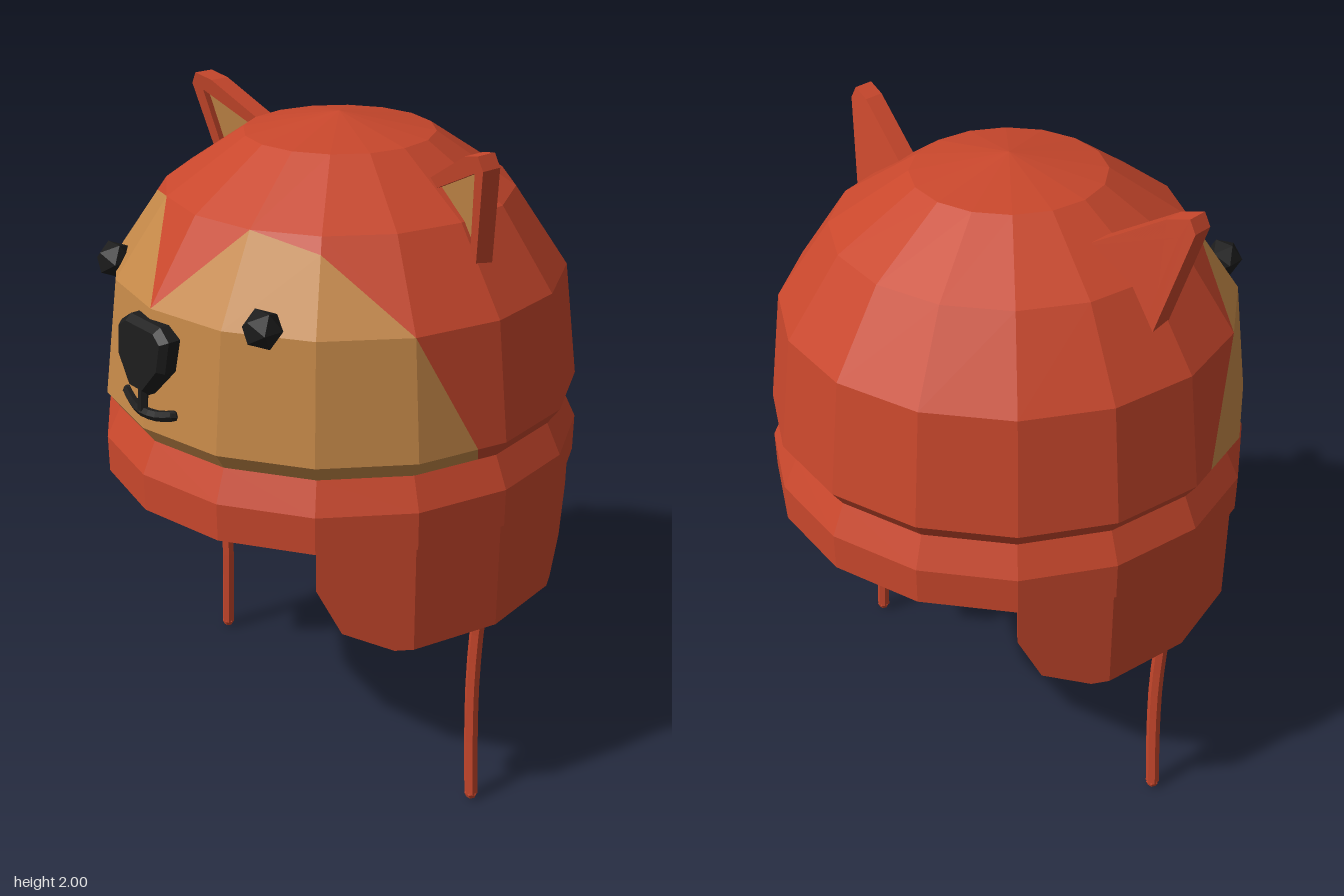
import * as THREE from 'three';

const mat = (color) => new THREE.MeshStandardMaterial({ color, flatShading: true, side: THREE.DoubleSide });
const RED = mat(0xc8472c), TAN = mat(0xc48848), BLACK = mat(0x1c1c1c);
const SEGMENTS = 16;

function add(parent, name, geometry, material) {
  const mesh = new THREE.Mesh(geometry, material);
  mesh.name = name;
  parent.add(mesh);
  return mesh;
}

// Point on a 16-sided ring; u counts sides from the front (+z) towards +x
function ringPoint(u, y, r) {
  const i = Math.floor(u), t = u - i;
  const corner = (k) => {
    const a = (k * 2 * Math.PI) / SEGMENTS;
    return new THREE.Vector3(Math.sin(a) * r, y, Math.cos(a) * r);
  };
  return corner(i).lerp(corner(i + 1), t);
}

// Triangles from convex polygons
function polygons(list) {
  const pts = [];
  for (const p of list) {
    for (let i = 1; i < p.length - 1; i++) {
      const tri = new THREE.Triangle(p[0], p[i], p[i + 1]);
      if (tri.getArea() > 1e-6) pts.push(p[0], p[i], p[i + 1]);
    }
  }
  const g = new THREE.BufferGeometry().setFromPoints(pts);
  g.computeVertexNormals();
  return g;
}

// Dome profile as [y, radius], and the height of the face patch at each meridian
const DOME = [[1.18, 0.66], [1.23, 0.695], [1.565, 0.65], [1.79, 0.495], [1.94, 0.27], [1.99, 0]];
const PATCH = [1.565, 1.79, 1.75, 1.565, 1.065];

function domePoint([u, y]) {
  let k = 0;
  while (k < DOME.length - 2 && y > DOME[k + 1][0]) k++;
  const [y0, r0] = DOME[k], [y1, r1] = DOME[k + 1];
  return ringPoint(u, y, r0 + ((r1 - r0) * (y - y0)) / (y1 - y0));
}

function patchHeight(u) {
  const a = Math.abs(u), i = Math.floor(a);
  const h0 = PATCH[i] ?? 0, h1 = PATCH[i + 1] ?? 0;
  return h0 + (h1 - h0) * (a - i);
}

// Part of a dome cell above (sign 1) or below (sign -1) the patch outline
function clipCell(cell, sign) {
  const out = [];
  cell.forEach((p, i) => {
    const q = cell[(i + 1) % cell.length];
    const fp = sign * (p[1] - patchHeight(p[0])), fq = sign * (q[1] - patchHeight(q[0]));
    if (fp >= 0) out.push(p);
    if (fp * fq < 0) {
      const t = fp / (fp - fq);
      out.push([p[0] + (q[0] - p[0]) * t, p[1] + (q[1] - p[1]) * t]);
    }
  });
  return out.map(domePoint);
}

function addDome(parent) {
  const above = [], below = [];
  for (let u = -8; u < 8; u++) {
    for (let k = 0; k < DOME.length - 1; k++) {
      const a = DOME[k][0], b = DOME[k + 1][0];
      const cell = [[u, a], [u + 1, a], [u + 1, b], [u, b]];
      above.push(clipCell(cell, 1));
      below.push(clipCell(cell, -1));
    }
  }
  add(parent, 'dome', polygons(above), RED);
  add(parent, 'facePatch', polygons(below), TAN);
}

// Curved flap following the brim, with a chamfered lower edge
function flapGeometry() {
  const half = [[0, 0.655], [1, 0.655], [1.2, 0.655], [1.74, 0.72], [2, 0.86]];
  const stations = [...half.slice(1).reverse().map(([u, y]) => [-u, y]), ...half];
  const loops = stations.map(([u, y]) => [
    ringPoint(4 + u, 0.99, 0.69), ringPoint(4 + u, y, 0.69),
    ringPoint(4 + u, y, 0.655), ringPoint(4 + u, 0.99, 0.655),
  ]);
  const faces = [loops[0].slice().reverse(), loops[loops.length - 1]];
  for (let i = 0; i < loops.length - 1; i++) {
    for (let j = 0; j < 4; j++) {
      const n = (j + 1) % 4;
      faces.push([loops[i][j], loops[i][n], loops[i + 1][n], loops[i + 1][j]]);
    }
  }
  return polygons(faces);
}

// Round cord along a smooth path, closed at both ends
function addCord(parent, name, points, radius, material) {
  const group = new THREE.Group();
  group.name = name;
  const path = points.map((p) => new THREE.Vector3(...p));
  add(group, 'cord', new THREE.TubeGeometry(new THREE.CatmullRomCurve3(path), 8, radius, 6), material);
  for (const end of [path[0], path[path.length - 1]]) {
    add(group, 'cordEnd', new THREE.SphereGeometry(radius, 6, 4), material).position.copy(end);
  }
  parent.add(group);
}

const toVectors = (list) => list.map(([x, y]) => new THREE.Vector2(x, y));

// Leaning ear: raised rim, recessed lining and flat back
function addEar(parent) {
  const outline = toVectors([[0.33, 1.86], [0.545, 1.985], [0.605, 2.0], [0.625, 1.965], [0.555, 1.68]]);
  const opening = toVectors([[0.375, 1.85], [0.53, 1.7], [0.585, 1.95]]);
  const rim = new THREE.Shape(outline);
  rim.holes.push(new THREE.Path(opening));
  const lean = (g, z) => {
    g.translate(0, 0, z);
    const p = g.attributes.position;
    for (let i = 0; i < p.count; i++) {
      p.setZ(i, p.getZ(i) + 0.03 + 0.22 * (p.getX(i) - 0.6) + 0.15 * (p.getY(i) - 2));
    }
    g.computeVertexNormals();
    return g;
  };
  const ear = new THREE.Group();
  ear.name = 'ear';
  add(ear, 'earRim', lean(new THREE.ExtrudeGeometry(rim, { depth: 0.06, bevelEnabled: false }), -0.03), RED);
  add(ear, 'earBack', lean(new THREE.ShapeGeometry(new THREE.Shape(outline)), -0.03), RED);
  add(ear, 'earLining', lean(new THREE.ShapeGeometry(new THREE.Shape(opening)), 0.012), TAN);
  parent.add(ear);
}

// Bevelled nose, tilted back with the slope of the face
function noseGeometry() {
  const shape = new THREE.Shape(toVectors([
    [-0.03, 1.355], [0.03, 1.355], [0.09, 1.425], [0.097, 1.5], [0.065, 1.522],
    [-0.065, 1.522], [-0.097, 1.5], [-0.09, 1.425],
  ]));
  const g = new THREE.ExtrudeGeometry(shape, {
    depth: 0.04, bevelThickness: 0.02, bevelSize: 0.015, bevelSegments: 1,
  });
  const p = g.attributes.position;
  for (let i = 0; i < p.count; i++) p.setZ(i, p.getZ(i) + 0.645 - 0.13 * (p.getY(i) - 1.4));
  g.computeVertexNormals();
  return g;
}

export function createModel() {
  const model = new THREE.Group();
  model.name = 'animalHat';
  addDome(model);

  // Thick brim band under the dome
  const band = [[0.66, 1.18], [0.67, 1.09], [0.67, 0.98], [0.703, 0.98], [0.703, 1.09], [0.66, 1.18]];
  add(model, 'brimBand', new THREE.LatheGeometry(toVectors(band), SEGMENTS), RED);

  // Paired parts, built on +x and mirrored
  for (const side of [1, -1]) {
    const half = new THREE.Group();
    half.name = side > 0 ? 'leftSide' : 'rightSide';
    half.scale.x = side;
    add(half, 'earFlap', flapGeometry(), RED);
    addCord(half, 'tieString',
      [[0.645, 0.78, 0], [0.622, 0.64, 0], [0.61, 0.42, 0], [0.614, 0.22, 0], [0.625, 0.021, 0]], 0.021, RED);
    addEar(half);
    add(half, 'eye', new THREE.IcosahedronGeometry(0.056, 0), BLACK).position.set(0.345, 1.585, 0.54);
    model.add(half);
  }

  // Nose and mouth
  add(model, 'nose', noseGeometry(), BLACK);
  addCord(model, 'mouthStem', [[0, 1.37, 0.682], [0, 1.285, 0.69]], 0.016, BLACK);
  addCord(model, 'mouth',
    [[-0.11, 1.297, 0.666], [-0.06, 1.283, 0.68], [0, 1.28, 0.69], [0.06, 1.283, 0.68], [0.11, 1.297, 0.666]],
    0.016, BLACK);
  return model;
}
